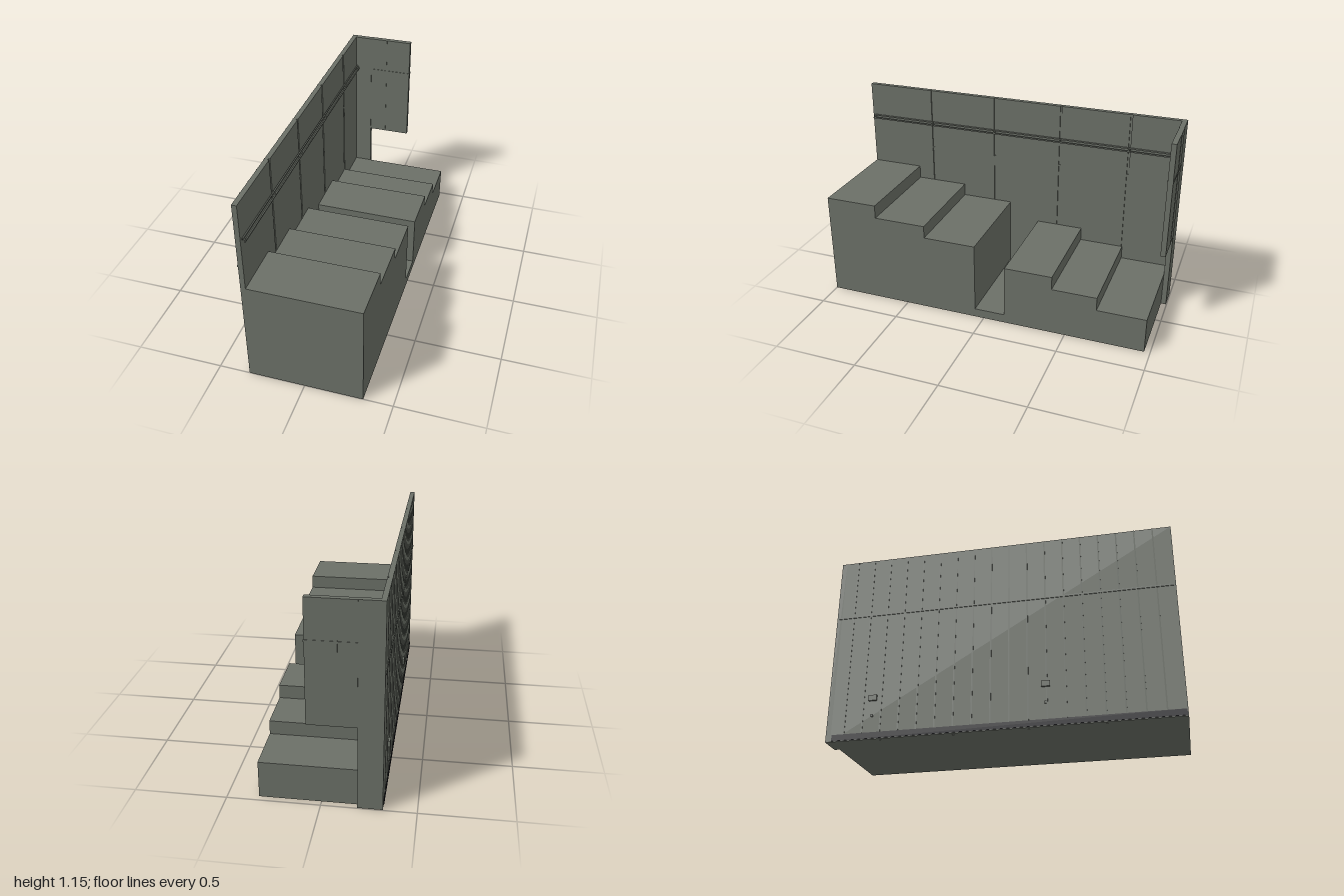
import * as THREE from 'three';

export function createModel() {
  const root = new THREE.Group();
  const grey = new THREE.MeshStandardMaterial({ color: 0x6b7067 });
  grey.name = 'greenish grey';
  const dark = new THREE.MeshStandardMaterial({ color: 0x1c1c21 });
  dark.name = 'near black';

  // Box given by its minimum and maximum corners
  function box(name, x0, x1, y0, y1, z0, z1, material = grey) {
    const mesh = new THREE.Mesh(new THREE.BoxGeometry(x1 - x0, y1 - y0, z1 - z0), material);
    mesh.position.set((x0 + x1) / 2, (y0 + y1) / 2, (z0 + z1) / 2);
    mesh.name = name;
    root.add(mesh);
  }

  const top = 1.155, outer = -0.323, inner = -0.295, right = 0.333;

  // Stepped cabinets with a low gap: front z, back z, height
  const cabinets = [
    [1, 0.685, 0.63], [0.685, 0.37, 0.55], [0.37, 0.055, 0.475],
    [0.055, -0.13, 0.053],
    [-0.13, -0.415, 0.37], [-0.415, -0.68, 0.29], [-0.68, -0.966, 0.21],
  ];
  for (const [front, back, height] of cabinets) {
    box(height < 0.1 ? 'floorPlinth' : 'cabinet', inner, right, 0, height, back, front);
  }

  // Long wall core with inner lining sheets separated by narrow gaps
  box('wallCore', outer, -0.303, 0, top, -0.966, 1);
  const seams = [-0.68, -0.26, 0.16, 0.58];
  const edges = [-0.972, ...seams, 1.006];
  for (let i = 0; i < edges.length - 1; i++) {
    box('wallLining', -0.303, inner, 0, top, edges[i] + 0.006, edges[i + 1] - 0.006);
  }
  for (const z of seams) {
    box('gapConnector', -0.303, -0.297, 0.77, 0.78, z - 0.006, z + 0.006);
  }

  // Outer cladding: vertical battens, a horizontal band and the dark base strip
  for (let i = 0; i < 18; i++) {
    const z = -0.89 + i * 0.105;
    box('outerBatten', outer - 0.002, outer, 0.04, top, z - 0.004, z + 0.004);
  }
  box('outerBand', outer - 0.004, outer, 0.77, 0.78, -0.99, 1);
  box('baseStrip', outer - 0.003, outer, 0.004, 0.04, -0.96, 0.995, dark);

  // Small service boxes on the outside
  for (const z of [-0.73, 0.26]) {
    box('serviceBox', -0.335, outer, 0.227, 0.26, z - 0.024, z + 0.024);
    box('servicePlug', -0.33, outer, 0.13, 0.145, z - 0.008, z + 0.008);
  }

  // Twin hanging rail along the inside, held by short brackets
  box('upperRail', -0.289, -0.282, 0.947, 0.955, -0.96, 0.99);
  box('lowerRail', -0.279, -0.272, 0.931, 0.939, -0.96, 0.99);
  for (const z of [-0.95, ...seams, 0.98]) {
    box('railBracket', inner, -0.274, 0.938, 0.948, z - 0.004, z + 0.004);
  }

  // Return wall at the far end: full-height post and raised panel
  box('endPost', outer, -0.19, 0, top, -0.996, -0.966);
  box('endPanel', -0.19, 0.07, 0.475, top, -0.998, -0.968);
  for (const z of [-1, -0.968]) {
    box('endPanelBatten', -0.092, -0.084, 0.475, top, z, z + 0.002);
    box('endPanelBand', -0.19, 0.073, 0.926, 0.938, z, z + 0.003);
  }

  return root;
}
